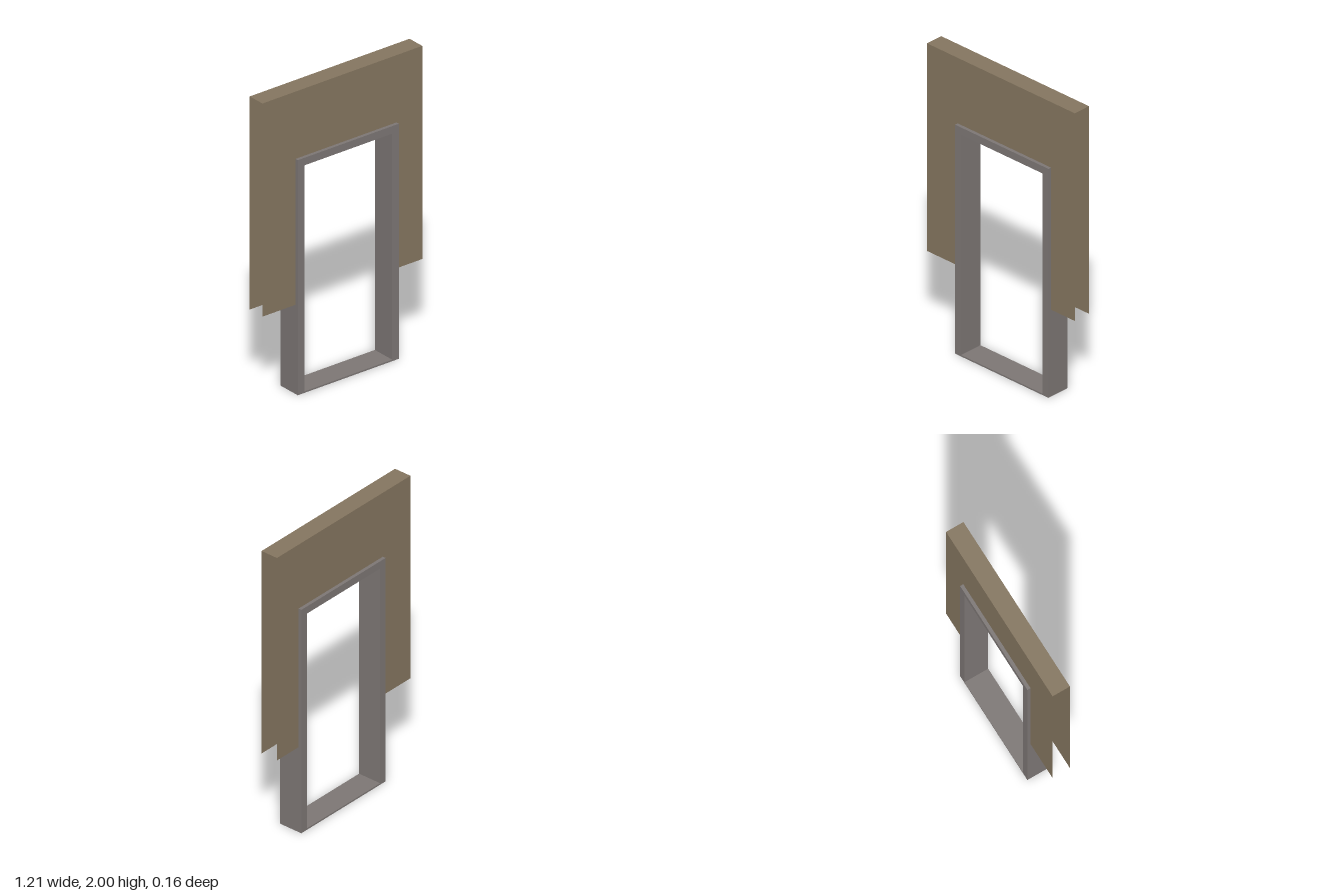
import * as THREE from 'three';

const HALF_W = 0.605, TOP = 2, WALL_BOTTOM = 0.59, WALL_Z = 0.06;   // wall
const LEFT = -0.355, RIGHT = 0.41, HEAD = 1.555;                    // frame outline
const TRIM = 0.05, FRAME_D = 0.164, SILL_H = 0.01;

export function createModel() {
  const model = new THREE.Group();
  model.name = 'doorway';

  const wallPaint = new THREE.MeshStandardMaterial({ color: 0x84755f, side: THREE.DoubleSide });
  wallPaint.name = 'brown wall';
  const frameMetal = new THREE.MeshStandardMaterial({ color: 0x7c7674, side: THREE.DoubleSide });
  frameMetal.name = 'grey frame';

  const add = (name, geometry, material, x, y, z) => {
    const mesh = new THREE.Mesh(geometry, material);
    mesh.name = name;
    mesh.position.set(x, y, z);
    model.add(mesh);
    return mesh;
  };

  // Wall skins: thin sheets wrapping over the doorway
  const outline = new THREE.Shape([
    [-HALF_W, WALL_BOTTOM], [LEFT, WALL_BOTTOM], [LEFT, HEAD], [RIGHT, HEAD],
    [RIGHT, WALL_BOTTOM], [HALF_W, WALL_BOTTOM], [HALF_W, TOP], [-HALF_W, TOP],
  ].map(([x, y]) => new THREE.Vector2(x, y)));
  add('wallFront', new THREE.ShapeGeometry(outline), wallPaint, 0, 0, WALL_Z);
  // The back skin is mirrored in z so that its normals face outward
  add('wallBack', new THREE.ShapeGeometry(outline), wallPaint, 0, 0, -WALL_Z).scale.z = -1;

  // Wall cap, with both ends of the wall left open
  const cap = new THREE.PlaneGeometry(2 * HALF_W, 2 * WALL_Z).rotateX(-Math.PI / 2);
  add('wallTop', cap, wallPaint, 0, TOP, 0);

  // Jambs: hollow posts, open underneath
  const jamb = new THREE.BoxGeometry(TRIM, HEAD, FRAME_D);
  const faces = Array.from(jamb.index.array);
  faces.splice(18, 6);
  jamb.setIndex(faces);
  jamb.clearGroups();
  add('jambRight', jamb, frameMetal, LEFT + TRIM / 2, HEAD / 2, 0);
  add('jambLeft', jamb, frameMetal, RIGHT - TRIM / 2, HEAD / 2, 0);

  // Head and threshold between the jambs
  const span = RIGHT - LEFT - 2 * TRIM, midX = (LEFT + RIGHT) / 2;
  add('head', new THREE.BoxGeometry(span, TRIM, FRAME_D), frameMetal, midX, HEAD - TRIM / 2, 0);
  add('threshold', new THREE.BoxGeometry(span, SILL_H, FRAME_D), frameMetal, midX, SILL_H / 2, 0);

  return model;
}
